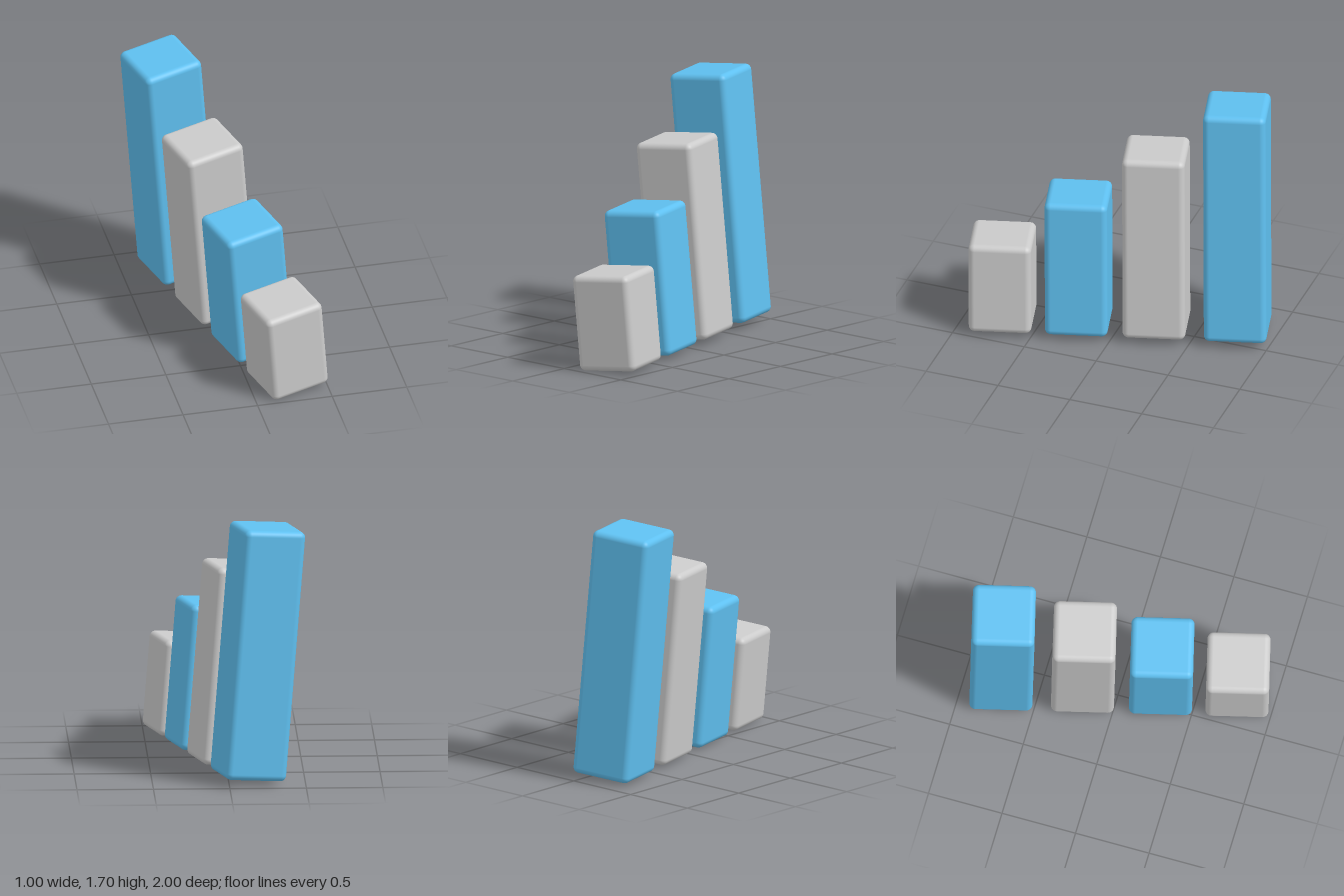
import * as THREE from 'three';
import { RoundedBoxGeometry } from 'three/addons/geometries/RoundedBoxGeometry.js';

const WIDTH = 0.412;
const RADIUS = 0.04;

// Bars from front to back: height and distance behind the first bar
const BARS = [
  { name: 'shortestBar', height: 0.635, offset: 0 },
  { name: 'shortBar', height: 0.965, offset: 0.5 },
  { name: 'tallBar', height: 1.31, offset: 1.01 },
  { name: 'tallestBar', height: 1.66, offset: 1.543 },
];

export function createModel() {
  const grey = new THREE.MeshStandardMaterial({ color: 0xcccccc });
  const blue = new THREE.MeshStandardMaterial({ color: 0x5fc0f0 });

  // The row of bars is turned and leans slightly as one piece
  const row = new THREE.Group();
  row.name = 'barRow';
  const deg = THREE.MathUtils.degToRad;
  row.rotation.set(deg(0.65), deg(14.6), deg(4.9), 'YXZ');
  row.position.set(0.262, 0.02, 0.738);

  // Rounded bars standing on a common base, alternating in colour
  BARS.forEach(({ name, height, offset }, i) => {
    const bar = new THREE.Mesh(
      new RoundedBoxGeometry(WIDTH, height, WIDTH, 5, RADIUS),
      i % 2 ? blue : grey
    );
    bar.name = name;
    bar.position.set(0, height / 2, -offset);
    row.add(bar);
  });

  const model = new THREE.Group();
  model.name = 'barChart';
  model.add(row);
  return model;
}
